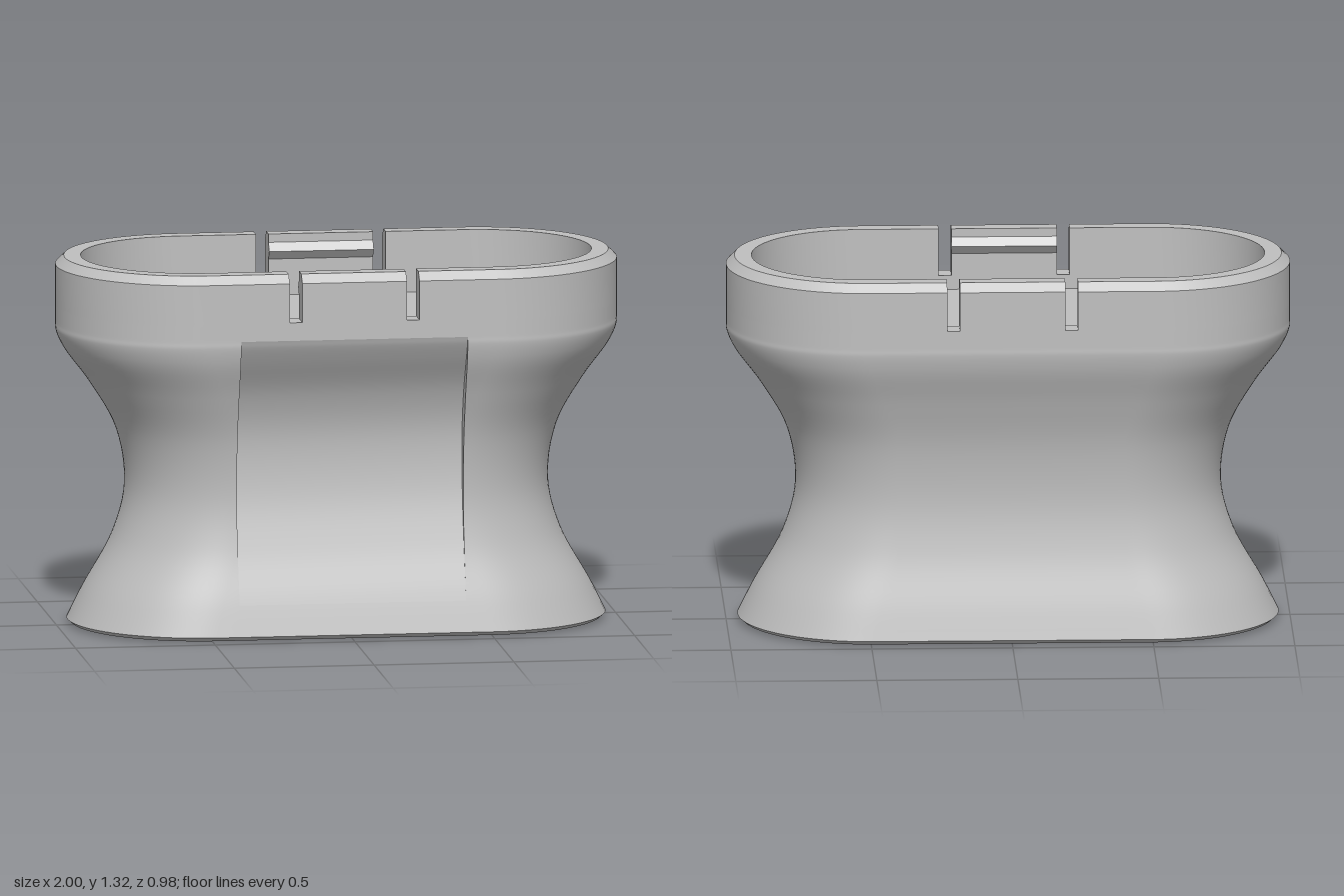
import * as THREE from 'three';
import { toCreasedNormals } from 'three/addons/utils/BufferGeometryUtils.js';

const END = 0.51, RAD = 0.49;           // stadium: straight half length and end radius
const PANEL = 0.405, PANEL_LOW = 0.13, PANEL_HIGH = 1.085;
const SHELF = 1.15, FLOOR = 1.1, TOP = 1.32, WALL = 0.09, BASE = 0.006;

// Skin a grid of points; skip(i, j) leaves a quad open.
function surface(rows, closed, skip = () => false) {
  const n = rows[0].length, index = [];
  for (let i = 0; i < rows.length - 1; i++) {
    for (let j = 0; j < (closed ? n : n - 1); j++) {
      if (skip(i, j)) continue;
      const k = (j + 1) % n;
      const a = i * n + j, b = i * n + k, c = a + n, d = b + n;
      index.push(a, b, d, a, d, c);
    }
  }
  const g = new THREE.BufferGeometry();
  g.setAttribute('position', new THREE.Float32BufferAttribute(rows.flat(2), 3));
  g.setIndex(index);
  g.scale(100, 100, 100);               // keeps close vertices apart while creasing
  return toCreasedNormals(g, 0.6).scale(0.01, 0.01, 0.01);
}

// Depth of the stadium at the panel edge for a given scale
function edgeZ(s) {
  const r = RAD * s, over = Math.max(0, PANEL - END * s);
  return Math.sqrt(r * r - over * over);
}

// Stadium outline, starting at the front panel edge and ending at its mirror
function outline(y, s, inset = 0, flat = 1) {
  const a = END * s, r = RAD * s - inset;
  const start = Math.asin(Math.max(0, PANEL - a) / r);
  const q = [[PANEL, r * Math.cos(start)]];
  for (let i = 0; i <= 24; i++) {
    const t = start + (Math.PI / 2 - start) * i / 24;
    q.push([a + r * Math.sin(t), r * Math.cos(t)]);
  }
  const back = [...q].reverse();
  return [
    ...q.map(([x, z]) => [x, y, z * flat]),
    ...back.slice(1).map(([x, z]) => [x, y, -z * flat]),
    ...q.map(([x, z]) => [-x, y, -z * flat]),
    ...back.slice(1).map(([x, z]) => [-x, y, z * flat]),
  ];
}

// Sweep a wall section of [inset, y] along stations of [x, z, normalX, normalZ]
function sweepWall(path, section) {
  const rows = path.map(([x, z, nx, nz]) => section.map(([d, y]) => [x - nx * d, y, z - nz * d]));
  const cap = ([x, z, nx, nz]) => section.map(() => [x - nx * 0.045, 1.23, z - nz * 0.045]);
  return surface([cap(path[0]), ...rows, cap(path[path.length - 1])], true);
}

export function createModel() {
  const model = new THREE.Group();
  const grey = new THREE.MeshStandardMaterial({ color: 0xbfbfbf });
  grey.name = 'plainGrey';
  const add = (name, geometry, parent = model) => {
    const mesh = new THREE.Mesh(geometry, grey);
    mesh.name = name;
    parent.add(mesh);
    return mesh;
  };

  // Waisted body with shallow cavity
  const profile = new THREE.CatmullRomCurve3([
    [0.96, 0.02], [0.905, PANEL_LOW], [0.8, 0.32], [0.755, 0.5], [0.785, 0.7],
    [0.88, 0.87], [0.975, 1.0], [1, 1.06], [1, PANEL_HIGH], [1, SHELF],
  ].map(([s, y]) => new THREE.Vector3(s, y, 0))).getPoints(54);
  const rows = [
    outline(BASE, 0.96, 0.016, 0),
    outline(BASE, 0.96, 0.016),
    ...profile.map(p => outline(p.y, p.x)),
    outline(SHELF, 1, WALL),
    outline(FLOOR, 1, WALL),
    outline(FLOOR, 1, WALL, 0),
  ];
  const inPanel = y => y > PANEL_LOW - 1e-4 && y < PANEL_HIGH + 1e-4;
  const last = rows[0].length - 1;
  add('body', surface(rows, true, (i, j) =>
    j === last && i > 1 && i < profile.length + 1 && inPanel(rows[i][0][1]) && inPanel(rows[i + 1][0][1])));

  // Scooped front panel with its two crescent sides
  const scoop = profile.filter(p => inPanel(p.y)).map(p => {
    const t = (p.y - PANEL_LOW) / (PANEL_HIGH - PANEL_LOW), z = edgeZ(p.x);
    return { y: p.y, z, deep: z - 0.057 * Math.max(0, Math.sin(Math.PI * t * t)) };
  });
  add('frontScoop', surface(scoop.map(p => [[-PANEL, p.y, p.deep], [PANEL, p.y, p.deep]]), false));
  add('scoopSideRight', surface(scoop.map(p => [[-PANEL, p.y, p.z], [-PANEL, p.y, p.deep]]), false));
  add('scoopSideLeft', surface(scoop.map(p => [[PANEL, p.y, p.deep], [PANEL, p.y, p.z]]), false));

  // Rim: two rounded ends and two clip tabs, parted by four slots
  const outer = [[0.03, TOP], [0, 1.29], [0, SHELF]];
  const endSection = [[WALL, SHELF], [WALL, TOP], ...outer];
  const tabSection = [[WALL, SHELF], [WALL, 1.23], [0.112, 1.26], [WALL, 1.29], [WALL, TOP], ...outer];
  const endPath = [[0.232, RAD, 0, 1]];
  for (let i = 0; i <= 48; i++) {
    const t = Math.PI * i / 48, nx = Math.sin(t), nz = Math.cos(t);
    endPath.push([END + RAD * nx, RAD * nz, nx, nz]);
  }
  endPath.push([0.232, -RAD, 0, -1]);
  const tabPath = [[-0.187, RAD, 0, 1], [0.187, RAD, 0, 1]];
  const endGeometry = sweepWall(endPath, endSection);
  const tabGeometry = sweepWall(tabPath, tabSection);
  for (const [side, turn] of [[0, 0], [1, Math.PI]]) {
    add(['rimEndLeft', 'rimEndRight'][side], endGeometry).rotation.y = turn;
    add(['clipTabFront', 'clipTabBack'][side], tabGeometry).rotation.y = turn;
  }

  // Circuit diagram in low relief under the base
  const circuit = new THREE.Group();
  circuit.name = 'baseCircuit';
  model.add(circuit);
  const bar = ([x1, z1], [x2, z2], width = 0.025) => {
    const length = Math.hypot(x2 - x1, z2 - z1);
    const mesh = add('circuitLine', new THREE.BoxGeometry(length, 0.008, width), circuit);
    mesh.position.set((x1 + x2) / 2, 0.004, (z1 + z2) / 2);
    mesh.rotation.y = -Math.atan2(z2 - z1, x2 - x1);
  };
  const line = (points, width) => points.slice(1).forEach((p, i) => bar(points[i], p, width));
  line([[0.59, 0], [0.36, 0], [0.13, -0.2]]);
  line([[0.13, -0.2], [0.03, -0.015]], 0.04);
  line([[0.1, 0.05], [-0.05, -0.07]]);
  line([[0.05, 0.12], [-0.09, 0]]);
  line([[-0.02, 0.06], [-0.1, 0.235]], 0.04);
  const bend = new THREE.SplineCurve([[-0.1, 0.235], [-0.19, 0.2], [-0.26, 0.15], [-0.25, 0.07], [-0.34, 0.015]]
    .map(p => new THREE.Vector2(...p)));
  line([...bend.getPoints(14).map(p => [p.x, p.y]), [-0.58, 0]]);
  const ring = new THREE.Shape().absarc(0, 0, 0.052, 0, Math.PI * 2);
  ring.holes.push(new THREE.Path().absarc(0, 0, 0.025, 0, Math.PI * 2, true));
  const ringGeometry = new THREE.ExtrudeGeometry(ring, { depth: 0.008, bevelEnabled: false, curveSegments: 20 });
  ringGeometry.rotateX(Math.PI / 2).translate(0, 0.008, 0);
  for (const x of [0.62, -0.61]) add('circuitRing', ringGeometry, circuit).position.x = x;
  for (const [x, z] of [[0.13, -0.2], [-0.1, 0.235]]) {
    add('circuitNode', new THREE.CylinderGeometry(0.04, 0.04, 0.008, 20), circuit).position.set(x, 0.004, z);
  }
  return model;
}
